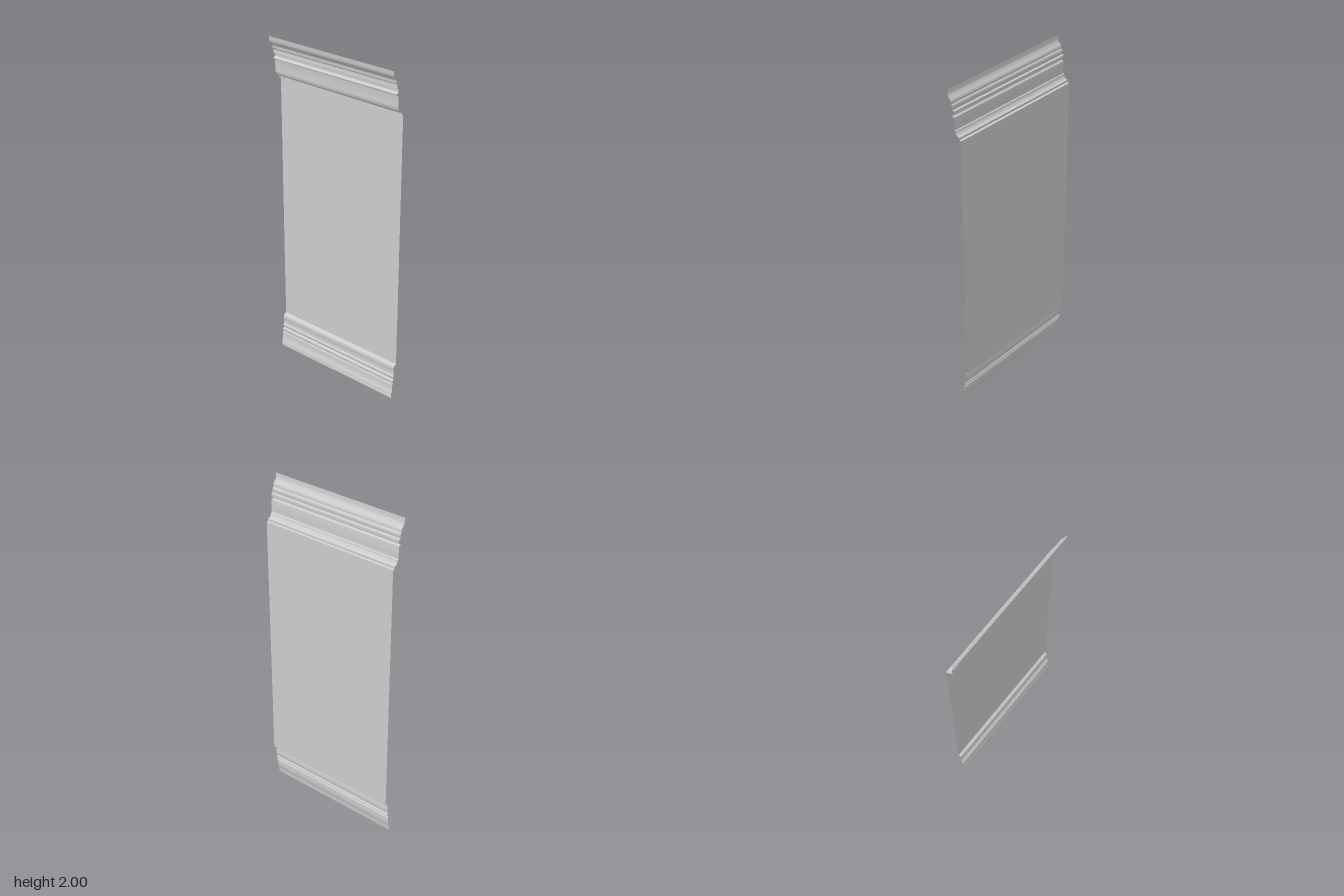
import * as THREE from 'three';
import { toCreasedNormals } from 'three/addons/utils/BufferGeometryUtils.js';

const HALF_WIDTH = 0.433;
const BACK = -0.045; // depth of the flat wall panel

// Sweep an open (z, y) profile, listed bottom to top, across the width
function sweep(name, path, material) {
  const pts = path.getPoints(6);
  const position = [];
  for (let i = 0; i < pts.length - 1; i++) {
    const a = pts[i], b = pts[i + 1];
    if (a.distanceTo(b) < 1e-6) continue;
    const w = HALF_WIDTH;
    position.push(-w, a.y, a.x, w, a.y, a.x, w, b.y, b.x);
    position.push(-w, a.y, a.x, w, b.y, b.x, -w, b.y, b.x);
  }
  const geometry = new THREE.BufferGeometry();
  geometry.setAttribute('position', new THREE.Float32BufferAttribute(position, 3));
  const mesh = new THREE.Mesh(toCreasedNormals(geometry, 0.55), material);
  mesh.name = name;
  return mesh;
}

export function createModel() {
  const group = new THREE.Group();
  group.name = 'wallPanelWithMouldings';
  const material = new THREE.MeshStandardMaterial({ color: 0xcccccc, side: THREE.DoubleSide });

  // Skirting: tall plinth, two small beads and a curved cap
  const skirting = new THREE.Path();
  skirting.moveTo(-0.005, 0);
  skirting.lineTo(-0.006, 0.025);
  skirting.quadraticCurveTo(-0.008, 0.035, -0.012, 0.045);
  skirting.quadraticCurveTo(-0.016, 0.065, -0.015, 0.085);
  skirting.lineTo(-0.02, 0.088);
  skirting.lineTo(-0.02, 0.098);
  skirting.quadraticCurveTo(-0.01, 0.107, -0.02, 0.115);
  skirting.lineTo(-0.026, 0.118);
  skirting.lineTo(-0.026, 0.125);
  skirting.quadraticCurveTo(-0.014, 0.135, -0.026, 0.145);
  skirting.quadraticCurveTo(-0.029, 0.165, -0.025, 0.18);
  skirting.quadraticCurveTo(-0.021, 0.203, -0.034, 0.21);
  skirting.lineTo(BACK, 0.215);

  // Flat panel
  const panel = new THREE.Path();
  panel.moveTo(BACK, 0.215);
  panel.lineTo(BACK, 1.74);

  // Cornice: stepped foot, fascia, beads and a flared crown
  const cornice = new THREE.Path();
  cornice.moveTo(BACK, 1.74);
  cornice.lineTo(-0.033, 1.743);
  cornice.lineTo(-0.033, 1.755);
  cornice.quadraticCurveTo(-0.012, 1.758, -0.008, 1.782);
  cornice.lineTo(-0.002, 1.786);
  cornice.quadraticCurveTo(-0.004, 1.825, 0.0, 1.857);
  cornice.lineTo(0.008, 1.861);
  cornice.quadraticCurveTo(0.014, 1.867, 0.006, 1.873);
  cornice.lineTo(-0.002, 1.877);
  cornice.lineTo(-0.002, 1.893);
  cornice.lineTo(0.008, 1.897);
  cornice.lineTo(0.009, 1.906);
  cornice.quadraticCurveTo(0.004, 1.917, 0.012, 1.925);
  cornice.lineTo(0.016, 1.928);
  cornice.quadraticCurveTo(0.014, 1.945, 0.025, 1.953);
  cornice.lineTo(0.028, 1.957);
  cornice.quadraticCurveTo(0.04, 1.968, 0.04, 1.985);
  cornice.lineTo(0.042, 2);

  group.add(
    sweep('skirting', skirting, material),
    sweep('panel', panel, material),
    sweep('cornice', cornice, material)
  );
  return group;
}
